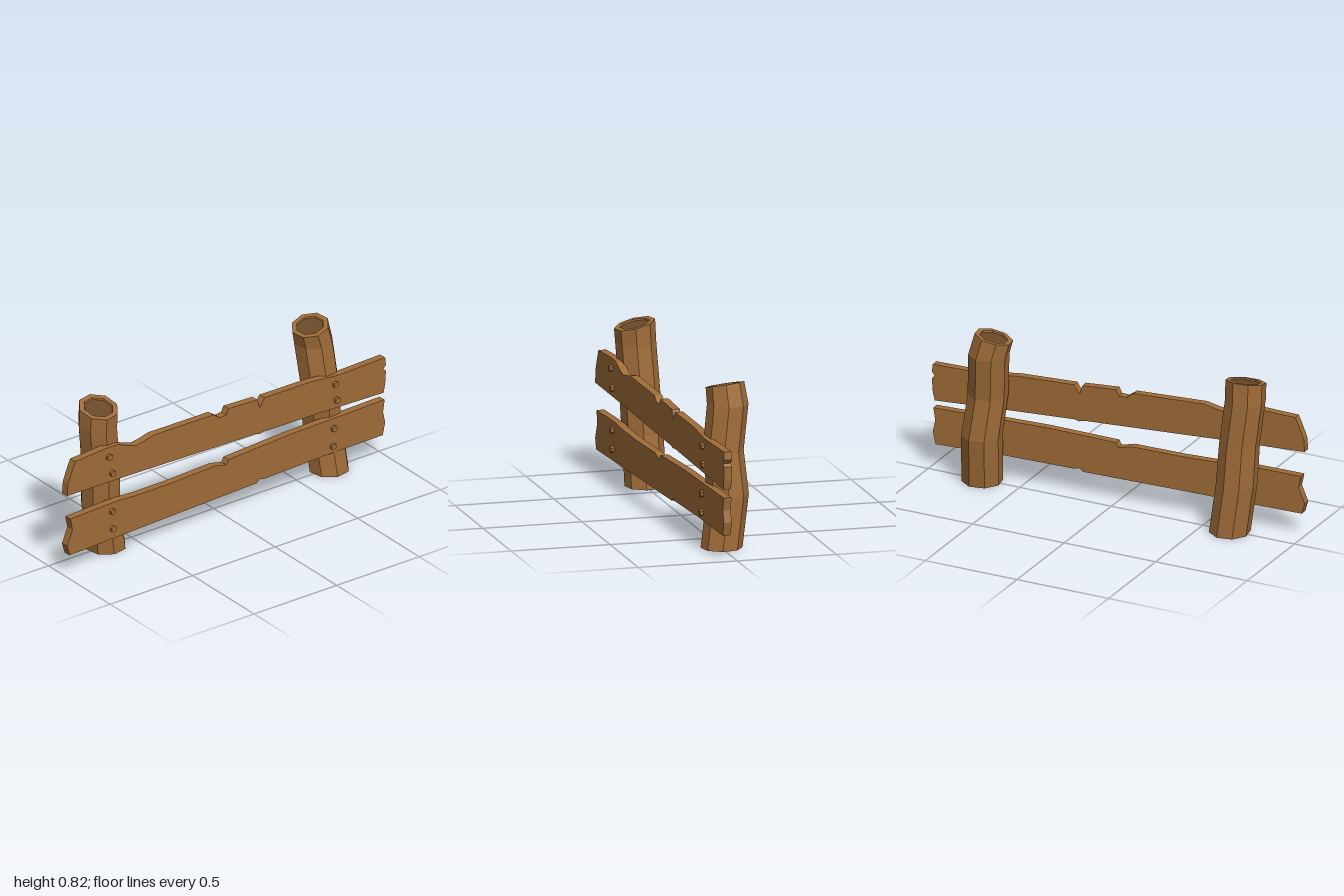
import * as THREE from 'three';

const wood = new THREE.MeshStandardMaterial({ color: 0xa06c38, flatShading: true });
const endGrain = new THREE.MeshStandardMaterial({ color: 0x694a2a, flatShading: true });
const SIDES = 8;
const SLOPE = 0.0425; // the rails run slightly askew to the x axis
const railZ = (x) => 0.0875 - SLOPE * x;

function add(parent, name, geometry, material = wood) {
  const mesh = new THREE.Mesh(geometry, material);
  mesh.name = name;
  parent.add(mesh);
  return mesh;
}

// One ring of points: centre x, y, z, radius and tilt of its plane along x and z
function ring([x, y, z, r, tiltX = 0, tiltZ = 0]) {
  return Array.from({ length: SIDES }, (_, i) => {
    const a = THREE.MathUtils.degToRad(33 + (i * 360) / SIDES);
    const dx = r * Math.sin(a), dz = r * Math.cos(a);
    return new THREE.Vector3(x + dx, y + tiltX * dx + tiltZ * dz, z + dz);
  });
}

function fromTriangles(points) {
  const geometry = new THREE.BufferGeometry().setFromPoints(points);
  geometry.computeVertexNormals();
  return geometry;
}

// Faceted log with a rim and a slightly sunken end-grain disc
function makePost(name, sections) {
  const post = new THREE.Group();
  post.name = name;
  const [x, y, z, r, tx, tz] = sections[sections.length - 1];
  const rings = [
    ...sections,
    [x, y, z, r * 0.74, tx, tz],
    [x, y - 0.008, z, r * 0.72, tx, tz],
  ].map(ring);
  const side = [], disc = [];
  const base = new THREE.Vector3(...sections[0].slice(0, 3));
  const top = new THREE.Vector3(x, y - 0.008, z);
  const last = rings[rings.length - 1];
  for (let i = 0; i < SIDES; i++) {
    const j = (i + 1) % SIDES;
    for (let k = 0; k < rings.length - 1; k++) {
      const lo = rings[k], hi = rings[k + 1];
      side.push(lo[i], lo[j], hi[j], lo[i], hi[j], hi[i]);
    }
    side.push(base, rings[0][j], rings[0][i]);
    disc.push(top, last[i], last[j]);
  }
  add(post, 'log', fromTriangles(side));
  add(post, 'endGrain', fromTriangles(disc), endGrain);
  return post;
}

// Weathered board cut from an outline
function makeRail(name, outline) {
  const shape = new THREE.Shape(outline.map(([x, y]) => new THREE.Vector2(x, y)));
  const geometry = new THREE.ExtrudeGeometry(shape, { depth: 0.04, bevelEnabled: false });
  geometry.translate(0, 0, -0.02);
  const rail = add(new THREE.Group(), name, geometry);
  rail.rotation.y = SLOPE;
  rail.position.z = railZ(0);
  return rail;
}

export function createModel() {
  const model = new THREE.Group();
  model.name = 'fence';

  // Posts
  model.add(makePost('rightPost', [
    [-0.65, 0, -0.005, 0.102],
    [-0.685, 0.26, 0.0, 0.102],
    [-0.695, 0.475, 0.012, 0.1],
    [-0.72, 0.7, 0.024, 0.1],
    [-0.72, 0.795, 0.03, 0.1, 0, -0.24],
  ]));
  model.add(makePost('leftPost', [
    [0.702, 0, -0.005, 0.102],
    [0.685, 0.26, -0.042, 0.102],
    [0.66, 0.475, -0.025, 0.1],
    [0.642, 0.7, -0.053, 0.101],
    [0.618, 0.792, -0.046, 0.094, 0.22, -0.1],
  ]));

  // Rails, outlined along the bottom, up the end, back along the top
  model.add(makeRail('upperRail', [
    [-1, 0.445], [-0.6, 0.43], [0.0, 0.402], [0.18, 0.394], [0.205, 0.386], [0.235, 0.392],
    [0.6, 0.375], [0.98, 0.355], [0.99, 0.4], [0.995, 0.47], [0.98, 0.485], [0.995, 0.505],
    [0.99, 0.545], [0.7, 0.545], [0.53, 0.565], [0.235, 0.575], [0.205, 0.53], [0.19, 0.578],
    [0.01, 0.59], [-0.005, 0.56], [-0.045, 0.558], [-0.085, 0.587], [-0.46, 0.6],
    [-0.53, 0.585], [-0.57, 0.58], [-0.61, 0.592], [-0.68, 0.622], [-0.75, 0.626],
    [-0.95, 0.618], [-0.965, 0.585], [-0.995, 0.51],
  ]));
  model.add(makeRail('lowerRail', [
    [-0.985, 0.115], [-0.3, 0.12], [0.185, 0.122], [0.205, 0.138], [0.235, 0.13], [0.6, 0.132],
    [0.975, 0.124], [0.99, 0.19], [0.977, 0.25], [0.987, 0.315], [0.38, 0.32], [0.01, 0.31],
    [-0.003, 0.285], [-0.075, 0.303], [-0.35, 0.3], [-0.56, 0.305], [-0.7, 0.315],
    [-0.98, 0.312], [-0.967, 0.25], [-1, 0.17],
  ]));

  // Hexagonal nail heads
  const nailGeometry = new THREE.CylinderGeometry(0.017, 0.017, 0.02, 6).rotateX(Math.PI / 2);
  [
    [-0.74, 0.575], [-0.72, 0.48], [-0.72, 0.27], [-0.717, 0.175],
    [0.675, 0.505], [0.685, 0.415], [0.665, 0.265], [0.66, 0.17],
  ].forEach(([x, y]) => {
    const nail = add(model, 'nail', nailGeometry);
    nail.position.set(x, y, railZ(x) + 0.025);
    nail.rotation.y = SLOPE;
  });

  return model;
}
